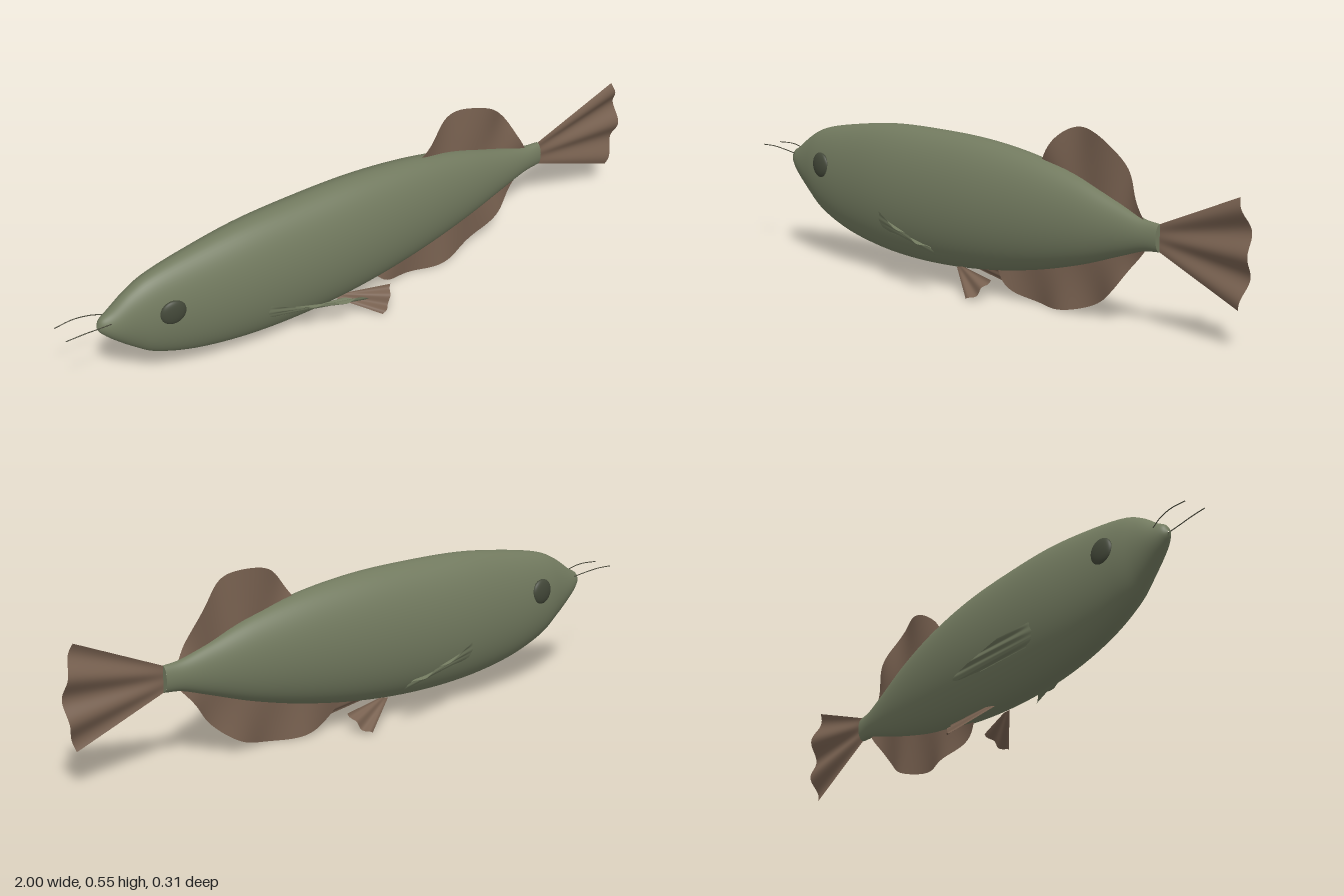
import * as THREE from 'three';
import { mergeVertices } from 'three/addons/utils/BufferGeometryUtils.js';

const V = (x, y, z = 0) => new THREE.Vector3(x, y, z);
const mat = (name, color, side = THREE.FrontSide) => {
  const m = new THREE.MeshStandardMaterial({ color, side });
  m.name = name;
  return m;
};
const spline = (pts) => new THREE.CatmullRomCurve3(pts.map((p) => V(...p)), false, 'catmullrom', 0.5);

// Body sections: x, top, bottom, half width
const SECTIONS = [
  [-0.884, 0.308, 0.302, 0.002], [-0.872, 0.332, 0.284, 0.018], [-0.84, 0.351, 0.25, 0.034],
  [-0.78, 0.393, 0.196, 0.05], [-0.71, 0.424, 0.146, 0.066], [-0.58, 0.45, 0.099, 0.084],
  [-0.4, 0.473, 0.069, 0.101], [-0.2, 0.478, 0.062, 0.107], [0, 0.473, 0.075, 0.103],
  [0.2, 0.449, 0.106, 0.087], [0.38, 0.406, 0.15, 0.064], [0.53, 0.352, 0.199, 0.04],
  [0.62, 0.322, 0.228, 0.026], [0.68, 0.315, 0.235, 0.019],
];

function bodyGeometry() {
  const heights = spline(SECTIONS.map(([x, t, b]) => [x, t, b]));
  const widths = spline(SECTIONS.map(([x, , , w]) => [x, w, 0]));
  let g = new THREE.CylinderGeometry(1, 1, 1, 64, 90, true);
  g.deleteAttribute('uv');
  g.deleteAttribute('normal');
  const p = g.attributes.position;
  for (let i = 0; i < p.count; i++) {
    const t = p.getY(i) + 0.5;
    const h = heights.getPoint(t);
    const w = widths.getPoint(t).y;
    p.setXYZ(i, h.x, (h.y + h.z) / 2 - (p.getX(i) * (h.y - h.z)) / 2, p.getZ(i) * w);
  }
  g = mergeVertices(g, 1e-5);
  g.computeVertexNormals();
  return g;
}

// Sheet ruled between two edge curves, rippled along a direction that grows outward
function finGeometry(root, edge, ripple, waves, dir = V(0, 0, 1), phase = 0) {
  const a = spline(root), b = spline(edge);
  const nu = 64, nv = 10;
  const g = new THREE.PlaneGeometry(1, 1, nu, nv);
  const p = g.attributes.position;
  for (let i = 0; i < p.count; i++) {
    const u = p.getX(i) + 0.5, v = p.getY(i) + 0.5;
    const q = a.getPointAt(u).lerp(b.getPointAt(u), v);
    const wave = Math.sin(u * waves * Math.PI * 2 + phase) + 0.35 * Math.sin(u * waves * 5.1 + 1);
    q.addScaledVector(dir, ripple * v * wave);
    p.setXYZ(i, q.x, q.y, q.z);
  }
  g.computeVertexNormals();
  return g;
}

export function createModel() {
  const group = new THREE.Group();
  const skin = mat('olive skin', 0x727a5f);
  const sideFin = mat('olive fin', 0x727a5f, THREE.DoubleSide);
  const fin = mat('brown fin', 0x786150, THREE.DoubleSide);
  const eyeMat = mat('dark eye', 0x434839);
  const barbelMat = mat('dark barbel', 0x4a4a3c);

  const add = (name, geometry, material) => {
    const m = new THREE.Mesh(geometry, material);
    m.name = name;
    group.add(m);
    return m;
  };

  add('body', bodyGeometry(), skin);
  const stump = add('tailStump', new THREE.CircleGeometry(1, 32), skin);
  stump.rotation.y = Math.PI / 2;
  stump.scale.set(0.019, 0.04, 1);
  stump.position.set(0.68, 0.275, 0);

  // Fins on the midline
  add('dorsalFin', finGeometry(
    [[0.23, 0.425], [0.42, 0.37], [0.63, 0.3]],
    [[0.23, 0.44], [0.285, 0.512], [0.34, 0.546], [0.41, 0.55], [0.48, 0.527], [0.55, 0.455], [0.595, 0.375], [0.63, 0.31]],
    0.009, 2.5), fin);
  add('analFin', finGeometry(
    [[0.05, 0.11], [0.3, 0.15], [0.63, 0.25]],
    [[0.05, 0.085], [0.1, 0.037], [0.17, 0.012], [0.27, 0.004], [0.37, 0.018], [0.45, 0.05], [0.52, 0.105], [0.575, 0.175], [0.63, 0.235]],
    0.009, 3), fin);
  add('tailFin', finGeometry(
    [[0.675, 0.313], [0.675, 0.275], [0.675, 0.237]],
    [[0.963, 0.432], [0.988, 0.355], [0.998, 0.275], [0.988, 0.195], [0.963, 0.118]],
    0.01, 2.5), fin);

  // Paired parts
  for (const s of [1, -1]) {
    const side = s > 0 ? 'Near' : 'Far';
    const mirror = (pts) => pts.map(([x, y, z]) => [x, y, z * s]);

    add('pectoralFin' + side, finGeometry(
      mirror([[-0.39, 0.153, 0.078], [-0.386, 0.185, 0.09], [-0.382, 0.216, 0.094]]),
      mirror([[-0.15, 0.14, 0.11], [-0.075, 0.135, 0.138], [-0.07, 0.141, 0.152], [-0.16, 0.163, 0.149], [-0.27, 0.19, 0.138]]),
      0.005, 3, V(0, 0.7, -0.7 * s)), sideFin);

    add('pelvicFin' + side, finGeometry(
      mirror([[-0.1, 0.07, 0.026], [-0.085, 0.074, 0.03], [-0.06, 0.078, 0.034]]),
      mirror([[0.02, 0.004, 0.106], [0.042, 0.012, 0.1], [0.062, 0.036, 0.083], [0.08, 0.066, 0.062]]),
      0.004, 2, V(0, 0.7, 0.7 * s)), fin);

    const eye = add('eye' + side, new THREE.SphereGeometry(1, 32, 20), eyeMat);
    eye.scale.set(0.04, 0.04, 0.014);
    eye.position.set(-0.675, 0.315, s * 0.068);
    eye.rotation.y = -s * 0.13;

    const path = spline(mirror([[-0.85, 0.325, 0.026], [-0.89, 0.334, 0.034], [-0.94, 0.34, 0.037], [-0.998, 0.338, 0.034]]));
    add('barbel' + side, new THREE.TubeGeometry(path, 20, 0.0015, 6), barbelMat);
  }
  return group;
}
